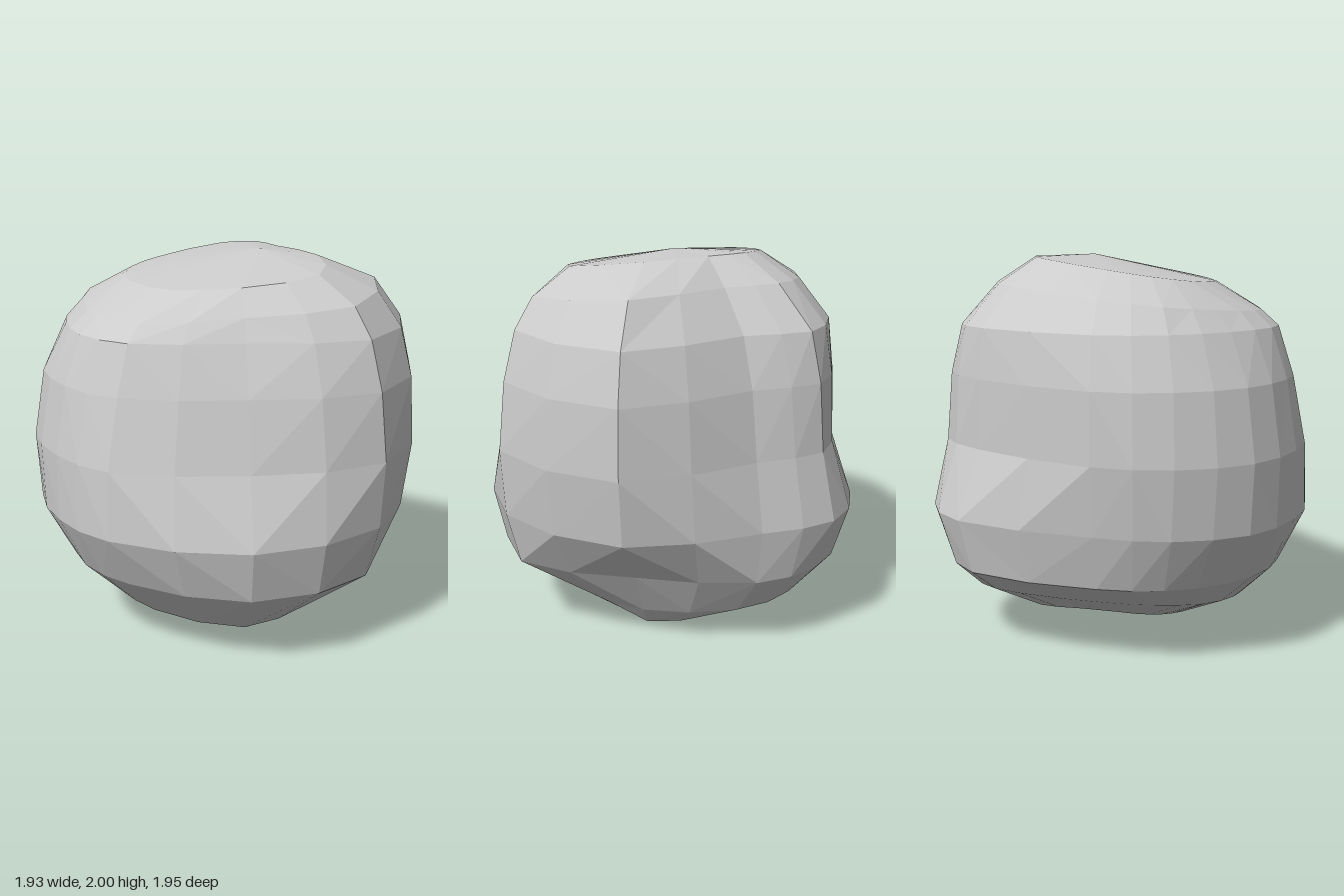
import * as THREE from 'three';

// Directions in sixteenths of a turn from +x towards +z, closer together at the sharp corners
const DIRECTIONS = [0, 2, 4, 6, 8, 9, 10, 11, 12, 14, 15];

// Cross-sections of the boulder: height, rise along x and z, then one radius per direction
const RINGS = [
  { y: 0.07, riseZ: -0.12, r: [.48, .42, .3, .33, .38, .36, .33, .28, .24, .3, .48] },
  { y: 0.2, riseZ: -0.12, r: [.7, .52, .5, .6, .64, .67, .68, .62, .58, .68, .8] },
  { y: 0.42, r: [.86, .68, .88, .86, .83, .87, .87, .85, .82, .95, .95] },
  { y: 0.7, r: [.89, .93, .95, .93, .97, 1, 1.03, .98, .9, 1.02, 1.04] },
  { y: 1.05, r: [.83, .98, .97, .8, .95, 1, 1.05, 1.03, .95, .9, .96] },
  { y: 1.4, r: [.78, .97, .93, .72, .87, .94, .99, 1, .95, .89, .93] },
  { y: 1.65, r: [.7, .91, .86, .62, .79, .85, .86, .9, .89, .86, .87] },
  { y: 1.8, riseX: 0.1, r: [.54, .76, .76, .56, .7, .76, .76, .8, .76, .7, .68] },
  { y: 1.93, riseX: 0.14, r: [.4, .45, .55, .45, .48, .5, .55, .55, .5, .5, .48] },
];
const SIDES = DIRECTIONS.length * 2;

// Closed outline through the ring's points, with one extra point between each pair
function ringPoints({ y, riseX = 0, riseZ = 0, r }) {
  const corners = r.map((radius, i) => {
    const a = DIRECTIONS[i] * Math.PI / 8;
    const x = radius * Math.cos(a), z = radius * Math.sin(a);
    return new THREE.Vector3(x, y + riseX * x + riseZ * z, z);
  });
  return new THREE.CatmullRomCurve3(corners, true).getPoints(SIDES).slice(0, SIDES);
}

function rockGeometry() {
  const points = RINGS.flatMap(ringPoints);
  const bottom = points.push(new THREE.Vector3(0.18, 0, 0.13)) - 1;
  const top = points.push(new THREE.Vector3(0.18, 2, 0.05)) - 1;

  // Distance of a diagonal's midpoint from the axis, used to keep facets bulging outwards
  const bulge = (p, q) => Math.hypot(points[p].x + points[q].x, points[p].z + points[q].z);
  const index = [];
  const last = (RINGS.length - 1) * SIDES;
  for (let i = 0; i < SIDES; i++) {
    const next = (i + 1) % SIDES;
    index.push(bottom, i, next, top, last + next, last + i);
    for (let j = 0; j < last; j += SIDES) {
      const a = j + i, b = j + next, c = a + SIDES, d = b + SIDES;
      if (bulge(a, d) > bulge(b, c)) index.push(a, c, d, a, d, b);
      else index.push(a, c, b, b, c, d);
    }
  }
  const geometry = new THREE.BufferGeometry().setFromPoints(points);
  geometry.setIndex(index);
  const flat = geometry.toNonIndexed();
  flat.computeVertexNormals();
  return flat;
}

export function createModel() {
  const group = new THREE.Group();
  group.name = 'boulder';
  const rock = new THREE.Mesh(
    rockGeometry(),
    new THREE.MeshStandardMaterial({ color: 0xcccccc, flatShading: true }),
  );
  rock.name = 'rock';
  group.add(rock);
  return group;
}
